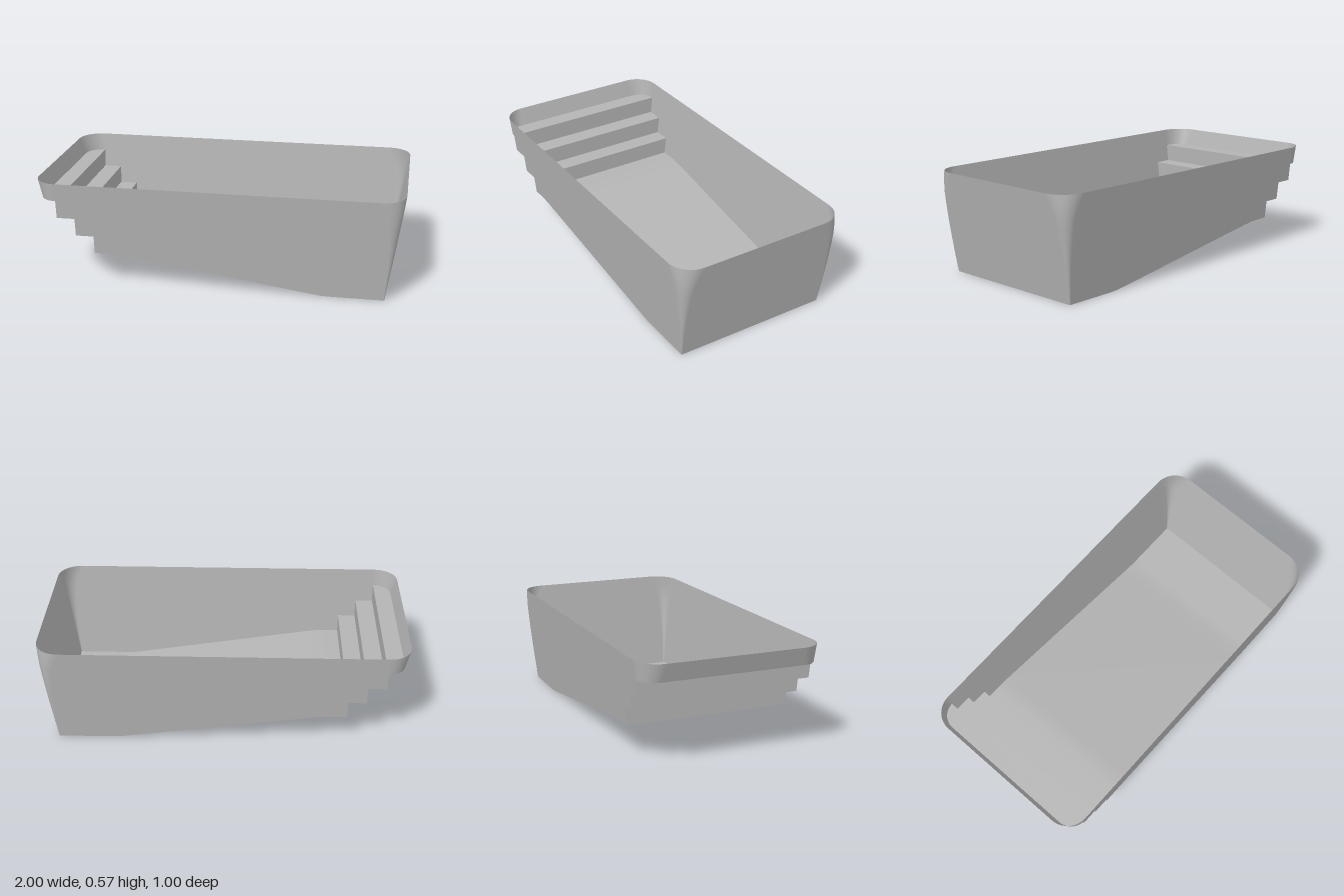
import * as THREE from 'three';

const H = 0.57;                                   // rim height
const halfWidth = y => 0.44 + 0.06 * y / H;       // side walls lean outwards
const deepEnd = y => 0.91 + 0.09 * y / H;         // deep end wall
const shallowEnd = y => -1 + 0.3 * (H - y);       // shallow end wall
const deepX = 0.87, shallowX = -0.875;            // where the corners meet the side walls

const shell = new THREE.MeshStandardMaterial({ color: 0xb4b4b4, side: THREE.DoubleSide });
shell.name = 'grey shell';

// Sheet through rows of [x, y, z] points
function sheet(rows) {
  const n = rows[0].length, index = [];
  for (let i = 0; i < rows.length - 1; i++) {
    for (let j = 0; j < n - 1; j++) {
      const a = i * n + j, b = a + n;
      index.push(a, b, a + 1, a + 1, b, b + 1);
    }
  }
  const geo = new THREE.BufferGeometry();
  geo.setAttribute('position', new THREE.Float32BufferAttribute(rows.flat(2), 3));
  geo.setIndex(index);
  geo.computeVertexNormals();
  return geo;
}

// Full-width strip along a side profile of [x, y] points
const strip = profile => sheet(profile.map(([x, y]) => [[x, y, halfWidth(y)], [x, y, -halfWidth(y)]]));

// Quarter round from the side wall to an end wall at one height
function cornerRow(y, endX, r, startX, side) {
  const dir = Math.sign(endX), w = halfWidth(y), row = [[startX, y, side * w]];
  for (let i = 0; i <= 10; i++) {
    const a = i / 10 * Math.PI / 2;
    row.push([endX - dir * r * (1 - Math.sin(a)), y, side * (w - r * (1 - Math.cos(a)))]);
  }
  return row;
}

export function createModel() {
  const group = new THREE.Group();
  group.name = 'poolShell';
  const add = (name, geo) => {
    const mesh = new THREE.Mesh(geo, shell);
    mesh.name = name;
    group.add(mesh);
  };

  // Sloping floor, softly bent at both ends of the ramp
  add('floor', strip([[-0.675, 0.17], [-0.6, 0.17], [-0.54, 0.168], [-0.48, 0.16],
    [0.5, 0.012], [0.57, 0.002], [0.62, 0], [0.91, 0]]));

  // Steps: three risers and the two lower treads
  for (let i = 0; i < 3; i++) {
    const x = shallowX + i * 0.1, y = 0.47 - i * 0.1;
    add('stepRiser', strip([[x, y], [x, y - 0.1]]));
    if (i < 2) add('stepTread', strip([[x, y - 0.1], [x + 0.1, y - 0.1]]));
  }

  // Side walls with the stepped and sloping lower edge
  const outline = [[shallowX, H], [shallowX, 0.37], [-0.775, 0.37], [-0.775, 0.27], [-0.675, 0.27],
    [-0.675, 0.17], [-0.6, 0.17], [-0.54, 0.168], [-0.48, 0.16], [0.5, 0.012], [0.57, 0.002],
    [0.62, 0], [deepX, 0], [deepX, H]];
  for (const side of [1, -1]) {
    const geo = new THREE.ShapeGeometry(new THREE.Shape(outline.map(p => new THREE.Vector2(...p))));
    const pos = geo.attributes.position;
    for (let i = 0; i < pos.count; i++) pos.setZ(i, side * halfWidth(pos.getY(i)));
    if (side < 0) geo.index.array.reverse();
    geo.computeVertexNormals();
    add(side > 0 ? 'frontWall' : 'backWall', geo);
  }

  // Deep end: corners tighten towards the floor, flat wall between them
  const levels = [[0, 0.005], [0.1, 0.012], [0.2, 0.022], [0.3, 0.036], [0.4, 0.055],
    [0.46, 0.071], [0.52, 0.098], [H, 0.13]];
  for (const side of [1, -1]) {
    add('deepCorner', sheet(levels.map(([y, r]) => cornerRow(y, deepEnd(y), r, deepX, side))));
  }
  add('deepEndWall', sheet(levels.map(([y, r]) => {
    const z = halfWidth(y) - r;
    return [[deepEnd(y), y, z], [deepEnd(y), y, -z]];
  })));

  // Shallow end: one rounded band above the top tread
  const shallowRow = y => {
    const x = shallowEnd(y), r = shallowX - x;
    return [...cornerRow(y, x, r, shallowX, 1), ...cornerRow(y, x, r, shallowX, -1).reverse()];
  };
  add('shallowEndWall', sheet([shallowRow(0.47), shallowRow(H)]));

  // Top tread with rounded outer corners
  const tread = new THREE.Shape(shallowRow(0.47).map(([x, , z]) => new THREE.Vector2(x, -z)));
  add('topTread', new THREE.ShapeGeometry(tread).rotateX(-Math.PI / 2).translate(0, 0.47, 0));

  return group;
}
